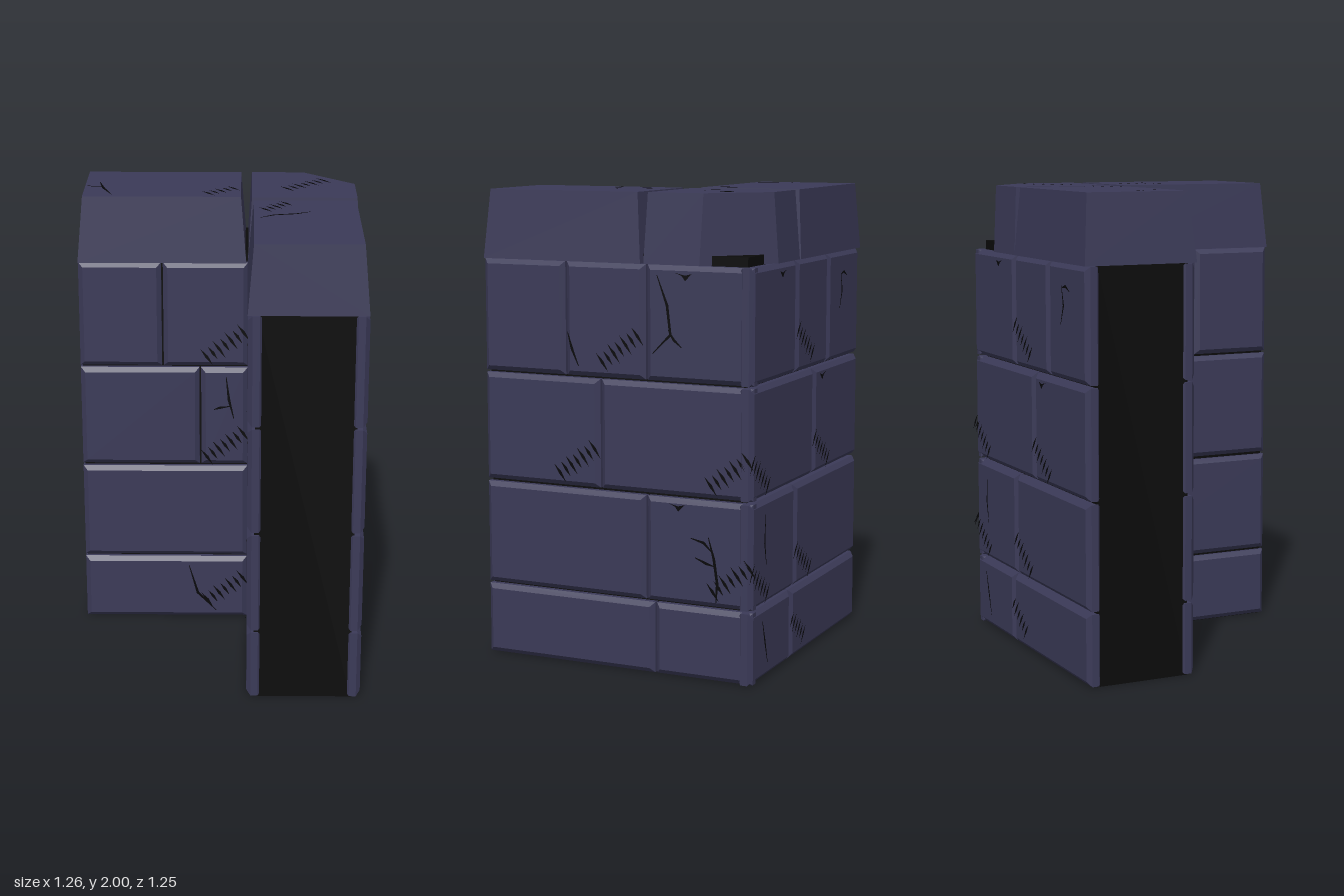
import * as THREE from 'three';
import { ConvexGeometry } from 'three/addons/geometries/ConvexGeometry.js';

const stone = new THREE.MeshStandardMaterial({ color: 0x3b3a58 });
stone.name = 'slateStone';
const mortar = new THREE.MeshStandardMaterial({ color: 0x0b0b0b });
mortar.name = 'blackMortar';
const ink = new THREE.MeshStandardMaterial({ color: 0x060608, side: THREE.DoubleSide });
ink.name = 'blackMarks';

const V2 = (x, y) => new THREE.Vector2(x, y);

function add(parent, name, geometry, material) {
  const mesh = new THREE.Mesh(geometry, material);
  mesh.name = name;
  parent.add(mesh);
  return mesh;
}

// Bevelled stone slab spanning u0..u1, v0..v1 with its outer face on local z = 0
function slab(u0, u1, v0, v1) {
  const b = 0.02, t = 0.018, depth = 0.03;
  const shape = new THREE.Shape([
    V2(u0 + b, v0 + b), V2(u1 - b, v0 + b), V2(u1 - b, v1 - b), V2(u0 + b, v1 - b)]);
  const geo = new THREE.ExtrudeGeometry(shape, {
    depth, bevelEnabled: true, bevelSize: b, bevelThickness: t, bevelSegments: 1 });
  return geo.translate(0, 0, -depth - t);
}

// Row of short slanted strokes climbing to the right
function hatch(u, v, n = 7, du = 0.027, dv = 0.019, len = 1) {
  const strokes = [];
  for (let i = 0; i < n; i++) {
    const k = i - (n - 1) / 2;
    const l = len * (i % 2 ? 0.85 : 1.1);
    const cu = u + k * du, cv = v + k * dv;
    strokes.push([
      [cu - 0.026 * l, cv + 0.034 * l], [cu - 0.004, cv - 0.005],
      [cu + 0.026 * l, cv - 0.036 * l], [cu + 0.006, cv + 0.005]]);
  }
  return strokes;
}

// Crack: a polyline thickened in the middle and pointed at both ends
function crack(...pts) {
  const left = [], right = [];
  pts.forEach(([u, v], i) => {
    const a = pts[Math.max(i - 1, 0)], c = pts[Math.min(i + 1, pts.length - 1)];
    const d = Math.hypot(c[0] - a[0], c[1] - a[1]);
    const w = (i === 0 || i === pts.length - 1) ? 0.0015 : 0.006;
    const nu = -(c[1] - a[1]) / d * w, nv = (c[0] - a[0]) / d * w;
    left.push([u + nu, v + nv]);
    right.unshift([u - nu, v - nv]);
  });
  return [[...left, ...right]];
}

// Small chip bitten out of a stone's upper edge
const chip = (u, v) => [[[u - 0.04, v + 0.012], [u - 0.01, v], [u + 0.005, v - 0.02],
  [u + 0.035, v + 0.01], [u + 0.005, v + 0.002]]];

function addMarks(parent, marks, flip = 1) {
  const shapes = marks.flat().map(p => new THREE.Shape(p.map(([u, v]) => V2(u * flip, v))));
  add(parent, 'scratches', new THREE.ShapeGeometry(shapes), ink).position.z = 0.003;
}

const rows = [[0.005, 0.307], [0.318, 0.757], [0.77, 1.228], [1.238, 1.71]];
// Vertical joints of each course, bottom to top
const innerJoints = [[-0.62, 0.12], [-0.62, 0.12], [-0.62, -0.09, 0.12], [-0.62, -0.255, 0.12]];
const outerJoints = [[-0.62, 0.175, 0.61], [-0.62, 0.135, 0.61],
  [-0.62, -0.075, 0.61], [-0.62, -0.235, 0.135, 0.61]];

// One wall face of brick courses, turned about y; flip mirrors the layout
function wallFace(name, joints, marks, angle, distance, flip) {
  const g = new THREE.Group();
  g.name = name;
  rows.forEach(([v0, v1], r) => {
    for (let i = 0; i < joints[r].length - 1; i++) {
      const a = (joints[r][i] + (i ? 0.004 : 0)) * flip;
      const last = i === joints[r].length - 2;
      const b = (joints[r][i + 1] - (last ? 0 : 0.004)) * flip;
      add(g, 'brick', slab(Math.min(a, b), Math.max(a, b), v0, v1), stone);
    }
  });
  addMarks(g, marks, flip);
  g.rotation.y = angle;
  g.position.set(Math.sin(angle) * distance, 0, Math.cos(angle) * distance);
  return g;
}

// Capstone: convex block between a lower and an upper outline of [x, z]
function cap(parent, name, lower, upper) {
  const pts = [
    ...lower.map(([x, z]) => new THREE.Vector3(x, 1.712, z)),
    ...upper.map(([x, z]) => new THREE.Vector3(x, 2, z))];
  add(parent, name, new ConvexGeometry(pts), stone);
}
const rect = (x0, x1, z0, z1) => [[x0, z0], [x1, z0], [x1, z1], [x0, z1]];

export function createModel() {
  const model = new THREE.Group();
  model.name = 'cornerWall';

  // L-shaped core, drawn as (x, -z) and stood upright
  const plan = new THREE.Shape([
    V2(-0.612, 0.16), V2(0.15, 0.16), V2(0.15, -0.612),
    V2(0.565, -0.612), V2(0.565, 0.57), V2(-0.612, 0.57)]);
  const core = new THREE.ExtrudeGeometry(plan, { depth: 1.75, bevelEnabled: false });
  add(model, 'core', core.rotateX(-Math.PI / 2), mortar);

  // Brick faces: two in the inner corner, two outside
  const inner = [
    hatch(0.02, 1.34), hatch(0.02, 0.865), hatch(0.02, 0.15),
    crack([0.025, 1.19], [0.038, 1.08], [0.06, 0.99]), crack([-0.03, 1.035], [0, 1.045], [0.04, 1.05]),
    crack([-0.145, 0.27], [-0.105, 0.13], [-0.02, 0.04])];
  const right = [
    hatch(0.02, 1.36), hatch(-0.18, 0.88), hatch(0.51, 0.88), hatch(0.52, 0.44),
    crack([-0.22, 1.42], [-0.2, 1.35], [-0.17, 1.28]),
    crack([0.19, 1.67], [0.235, 1.55], [0.25, 1.43], [0.17, 1.35]),
    crack([0.24, 1.45], [0.265, 1.41], [0.3, 1.38]),
    crack([0.42, 0.61], [0.445, 0.52], [0.46, 0.42], [0.455, 0.34]),
    crack([0.34, 0.6], [0.4, 0.585], [0.445, 0.54]), crack([0.36, 0.52], [0.41, 0.5], [0.45, 0.49]),
    chip(0.31, 1.67), chip(0.28, 0.725)];
  const back = [
    hatch(0.04, 1.36), hatch(0.53, 0.87), hatch(-0.16, 0.87), hatch(0.05, 0.42),
    hatch(0.53, 0.42), hatch(0.1, 0.13, 6),
    crack([-0.38, 1.62], [-0.4, 1.54], [-0.37, 1.46]), crack([-0.46, 1.6], [-0.42, 1.62], [-0.38, 1.61]),
    crack([0.47, 0.7], [0.48, 0.58], [0.46, 0.48]), crack([0.5, 0.26], [0.47, 0.16], [0.44, 0.06]),
    chip(0.3, 1.67), chip(-0.17, 1.19)];
  model.add(
    wallFace('innerFrontFace', innerJoints, inner, 0, -0.125, 1),
    wallFace('innerSideFace', innerJoints, inner, -Math.PI / 2, -0.12, -1),
    wallFace('outerSideFace', outerJoints, right, Math.PI / 2, 0.607, 1),
    wallFace('outerBackFace', outerJoints, back, Math.PI, 0.612, -1));

  // Tapered capstones on both arms and a chamfered one on the corner
  cap(model, 'sideArmCap', rect(-0.62, 0.112, -0.618, -0.122), rect(-0.595, 0.088, -0.598, -0.15));
  cap(model, 'frontArmCap', rect(0.118, 0.605, -0.112, 0.618), rect(0.142, 0.58, -0.09, 0.595));
  cap(model, 'cornerCap',
    [[0.118, -0.127], [0.605, -0.127], [0.605, -0.375], [0.355, -0.615], [0.118, -0.615]],
    [[0.135, -0.14], [0.587, -0.14], [0.587, -0.385], [0.365, -0.598], [0.135, -0.598]]);

  // Marks on the cap tops
  const top = new THREE.Group();
  top.name = 'capMarks';
  addMarks(top, [
    hatch(0.0, 0.25, 5, 0.027, 0.022), hatch(0.37, 0.365, 7, 0.027, 0.025, 1.15),
    hatch(0.235, -0.015, 5, 0.022, 0.025),
    crack([-0.535, 0.4], [-0.512, 0.29], [-0.47, 0.18]), crack([-0.585, 0.33], [-0.555, 0.32], [-0.52, 0.32]),
    crack([0.165, -0.2], [0.225, -0.155], [0.32, -0.135], [0.38, -0.1])]);
  top.rotation.x = -Math.PI / 2;
  top.position.y = 1.999;
  model.add(top);

  return model;
}
